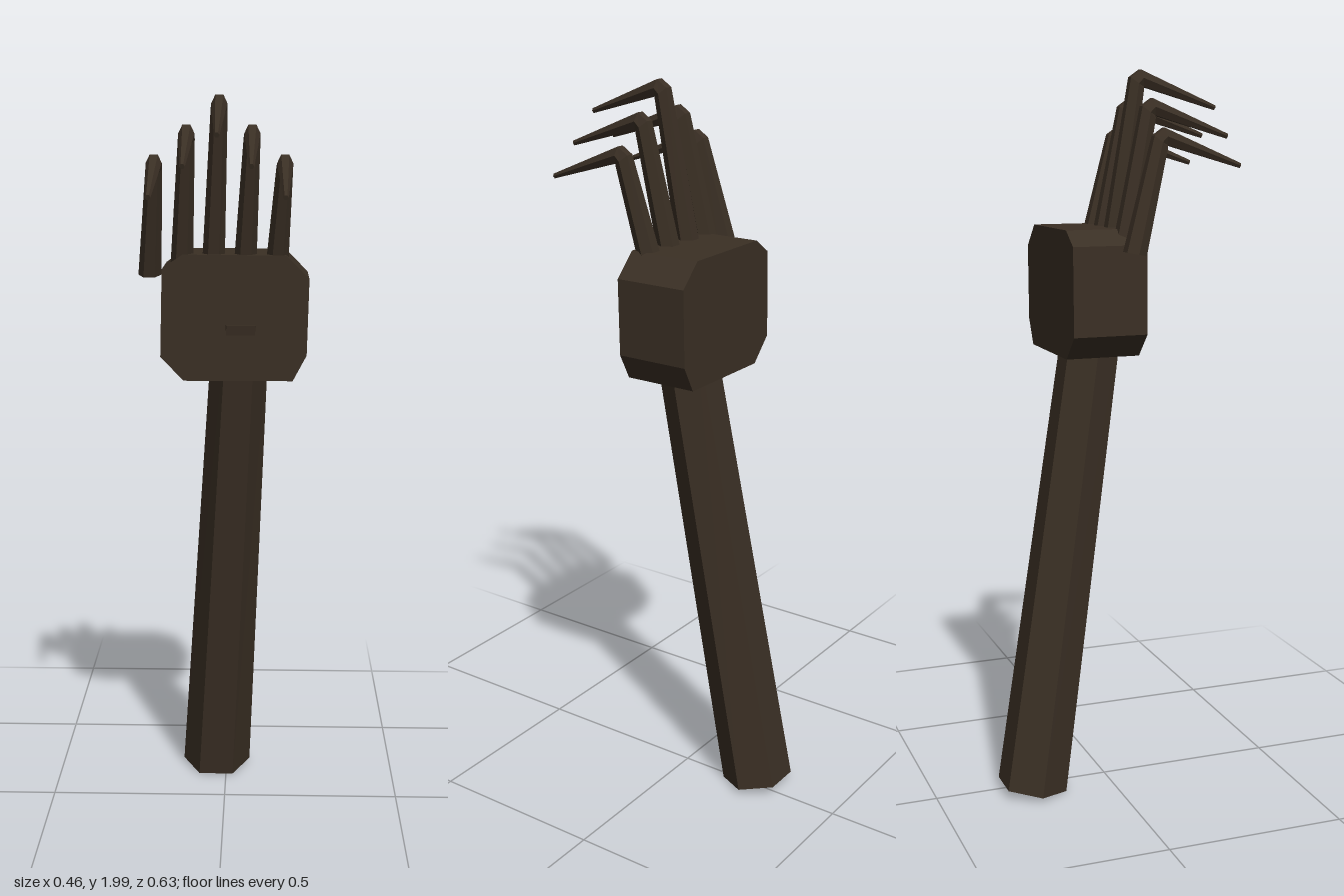
import * as THREE from 'three';

// Six-sided ring: centre c, half width w along x, half thickness vector [y, z]
function hexRing(c, w, [vy, vz]) {
  const ring = [];
  for (let i = 0; i < 6; i++) {
    const a = (i * Math.PI) / 3;
    const s = Math.sin(a) / Math.sin(Math.PI / 3);
    ring.push([c[0] + w * Math.cos(a), c[1] + vy * s, c[2] + vz * s]);
  }
  return ring;
}

// Faceted skin through a list of rings, closed at both ends
function loft(rings) {
  const pos = [];
  const tri = (a, b, c) => pos.push(...a, ...b, ...c);
  for (let k = 0; k < rings.length - 1; k++) {
    const a = rings[k], b = rings[k + 1];
    for (let i = 0; i < 6; i++) {
      const j = (i + 1) % 6;
      tri(a[i], a[j], b[j]);
      tri(a[i], b[j], b[i]);
    }
  }
  const first = rings[0], last = rings[rings.length - 1];
  for (let i = 1; i < 5; i++) {
    tri(first[0], first[i + 1], first[i]);
    tri(last[0], last[i], last[i + 1]);
  }
  const geo = new THREE.BufferGeometry();
  geo.setAttribute('position', new THREE.Float32BufferAttribute(pos, 3));
  geo.computeVertexNormals();
  return geo;
}

export function createModel() {
  const group = new THREE.Group();
  const darkWood = new THREE.MeshStandardMaterial({ color: 0x3a2f24 });
  darkWood.name = 'darkWood';

  const add = (name, geo) => {
    const mesh = new THREE.Mesh(geo, darkWood);
    mesh.name = name;
    group.add(mesh);
  };

  // Leaning hexagonal handle, its end just breaking through the palm
  add('handle', loft([
    hexRing([-0.03, 0.021, -0.228], 0.1, [0.0135, -0.085]),
    hexRing([0.045, 1.412, -0.006], 0.077, [0.011, -0.07]),
  ]));

  // Palm block with cut corners
  const outline = [
    [-0.11, 1.25], [0.185, 1.25], [0.222, 1.32], [0.227, 1.525],
    [0.165, 1.587], [-0.11, 1.589], [-0.166, 1.55], [-0.172, 1.315],
  ].map(([x, y]) => new THREE.Vector2(x, y));
  const palm = new THREE.ExtrudeGeometry(new THREE.Shape(outline), { depth: 0.205, bevelEnabled: false });
  palm.translate(0, 0, -0.145);
  add('palm', palm);

  // Five bent fingers, each ending in a tapered claw
  const tops = [1.85, 1.925, 2.0, 1.925, 1.85];
  tops.forEach((top, i) => {
    const x = -0.181 + i * 0.085;
    add('finger' + (i + 1), loft([
      hexRing([x - 0.02, 1.531, 0.012], 0.031, [0.005, -0.027]),
      hexRing([x - 0.001, top - 0.036, 0.0865], 0.022, [0.016, -0.0185]),
      hexRing([x, top - 0.022, 0.101], 0.021, [0.022, -0.004]),
      hexRing([x, top - 0.098, 0.315], 0.007, [0.006, 0.002]),
    ]));
  });

  return group;
}
